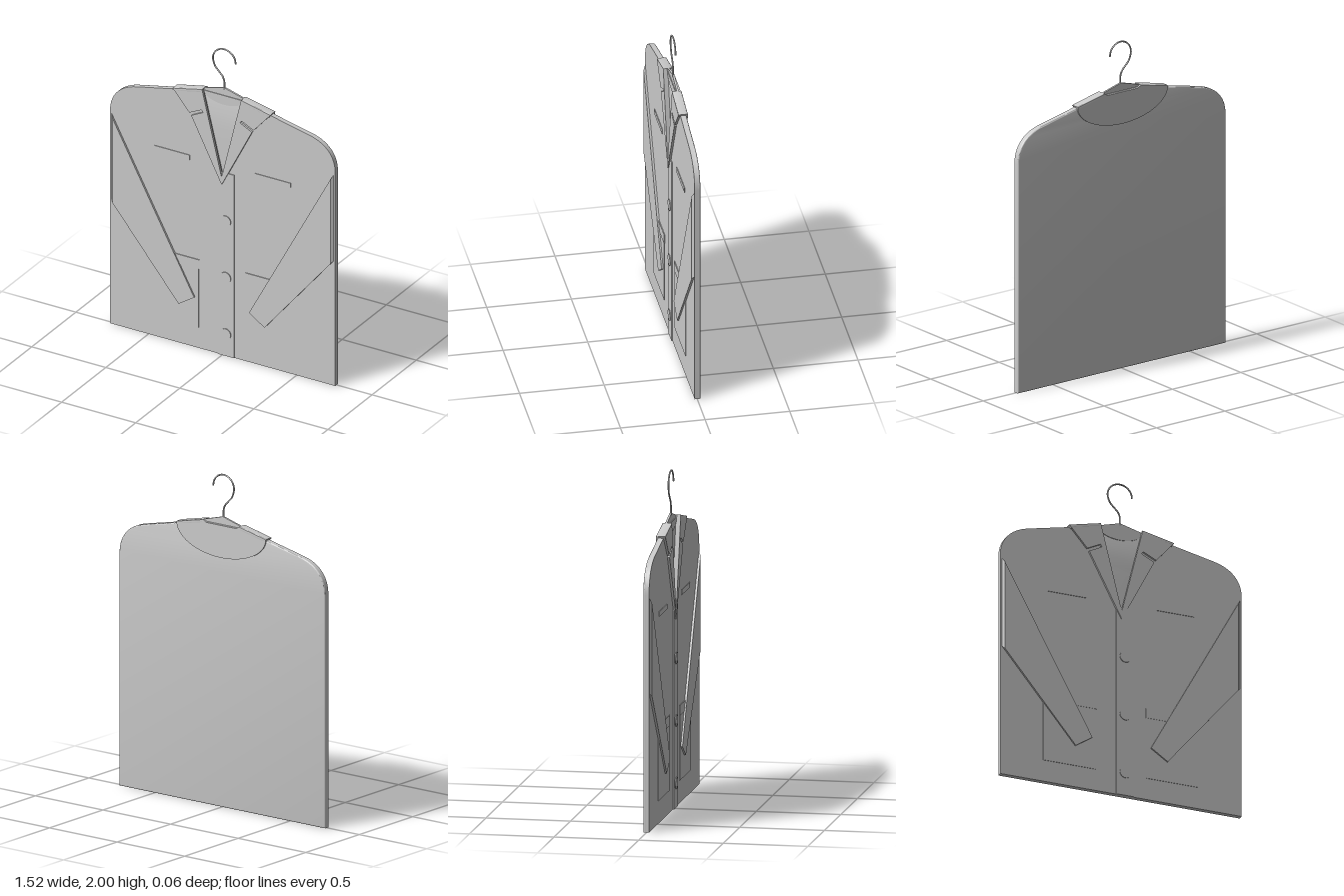
import * as THREE from 'three';
import { toCreasedNormals } from 'three/addons/utils/BufferGeometryUtils.js';

const material = new THREE.MeshStandardMaterial({ color: 0xcccccc, side: THREE.DoubleSide });

function addMesh(parent, name, geometry) {
  const mesh = new THREE.Mesh(geometry, material);
  mesh.name = name;
  parent.add(mesh);
  return mesh;
}

// Flat piece of cloth: an outline in x, y extruded from z0 to z1
function cloth(points, z0, z1, bevel = 0) {
  const shape = new THREE.Shape(points.map(([x, y]) => new THREE.Vector2(x, y)));
  const geometry = new THREE.ExtrudeGeometry(shape, {
    depth: z1 - z0 - 2 * bevel,
    bevelEnabled: bevel > 0,
    bevelThickness: bevel, bevelSize: bevel, bevelOffset: -bevel, bevelSegments: 3,
  });
  geometry.translate(0, 0, z0 + bevel);
  return toCreasedNormals(geometry, 0.6);
}

const rect = (x0, x1, y0, y1) => [[x0, y0], [x1, y0], [x1, y1], [x0, y1]];
const mirror = (points) => points.map(([x, y]) => [-x, y]);

// Outer edge of one half, from hem over the rounded shoulder to the neck
function sideEdge() {
  const curve = new THREE.CubicBezierCurve(
    new THREE.Vector2(0.76, 1.4), new THREE.Vector2(0.76, 1.5),
    new THREE.Vector2(0.7, 1.575), new THREE.Vector2(0.58, 1.6));
  return [[0.76, 0], ...curve.getPoints(14).map((p) => [p.x, p.y]), [0.135, 1.697]];
}

// Lower half of an ellipse, from right to left
function lowerArc(rx, ry, y, steps = 24) {
  const points = [];
  for (let i = 0; i <= steps; i++) {
    const a = (i / steps) * Math.PI;
    points.push([rx * Math.cos(a), y - ry * Math.sin(a)]);
  }
  return points;
}

// Sleeve laid across the front, its outer edge sloping back to the side seam
function sleeve(s) {
  const points = [[0.76, 1.4], [0.76, 0.83], [0.29, 0.26], [0.185, 0.33]];
  let geometry = cloth(s > 0 ? points : mirror(points), 0.006, 0.028);
  const pos = geometry.attributes.position;
  for (let i = 0; i < pos.count; i++) {
    if (Math.abs(pos.getX(i)) > 0.75 && pos.getZ(i) > 0.02) {
      pos.setX(i, s * 0.735);
      pos.setY(i, pos.getY(i) > 1 ? 1.354 : 0.8);
    }
  }
  return toCreasedNormals(geometry, 0.3);
}

export function createModel() {
  const group = new THREE.Group();
  group.name = 'jacketOnHanger';

  // Jacket body
  const edge = sideEdge();
  addMesh(group, 'backPanel', cloth([...edge, ...mirror(edge).reverse()], -0.02, 0, 0.006));

  for (const s of [1, -1]) {
    const side = s > 0 ? 'left' : 'right';
    const flip = (points) => (s > 0 ? points : mirror(points));
    const add = (name, points, z0, z1, bevel) =>
      addMesh(group, side + name, cloth(flip(points), z0, z1, bevel));

    add('FrontPanel', [[0, 0], ...edge, [0, 1.15]], -0.007, 0.015);
    addMesh(group, side + 'Sleeve', sleeve(s));

    // Notched lapel and the collar fold over the shoulder
    add('Lapel', [[0, 1.12], [0.205, 1.52], [0.125, 1.56], [0.135, 1.575], [0.217, 1.535],
      [0.33, 1.665], [0.132, 1.71], [0, 1.17]], 0.012, 0.028);
    add('CollarFold', [[0.132, 1.71], [0.33, 1.667], [0.318, 1.645], [0.136, 1.685]], -0.028, 0.028, 0.007);

    // Pockets
    add('ChestPocket', rect(0.22, 0.46, 1.22, 1.25), 0.012, 0.019);
    add('LowerPocket', rect(0.16, 0.49, 0.135, 0.52), 0.012, 0.018);
    add('PocketFlap', rect(0.155, 0.495, 0.52, 0.58), 0.012, 0.02);
  }

  // Back of the collar and the lining inside the neck
  addMesh(group, 'backCollar', cloth(
    [[-0.132, 1.708], [-0.11, 1.695], [0.11, 1.695], [0.132, 1.708], ...lowerArc(0.33, 0.165, 1.665)],
    -0.028, -0.017));
  addMesh(group, 'neckLining', cloth(lowerArc(0.132, 0.06, 1.695), -0.004, 0.004));

  // Button placket
  addMesh(group, 'placket', cloth(rect(-0.03, 0.08, 0, 1.2), 0.01, 0.021));
  for (let i = 0; i < 3; i++) {
    const button = addMesh(group, 'button', new THREE.CylinderGeometry(0.035, 0.035, 0.007, 24));
    button.rotation.x = Math.PI / 2;
    button.position.set(0.025, 0.145 + i * 0.37, 0.0225);
  }

  // Hanger bar and hook
  const hanger = new THREE.Group();
  hanger.name = 'hanger';
  group.add(hanger);
  addMesh(hanger, 'hangerBar', cloth(
    [[0, 1.745], [-0.135, 1.708], [-0.135, 1.68], [0.135, 1.68], [0.135, 1.708]], -0.012, 0));
  const path = [[0, 1.73], [0, 1.785], [-0.012, 1.815], [-0.035, 1.84], [-0.062, 1.87]]
    .map(([x, y]) => new THREE.Vector3(x, y, -0.004));
  for (let i = 0; i <= 8; i++) {
    const a = Math.PI * (1 - i / 8);
    path.push(new THREE.Vector3(0.077 * Math.cos(a), 1.918 + 0.077 * Math.sin(a), -0.004));
  }
  addMesh(hanger, 'hook', new THREE.TubeGeometry(new THREE.CatmullRomCurve3(path), 64, 0.005, 8));

  return group;
}
